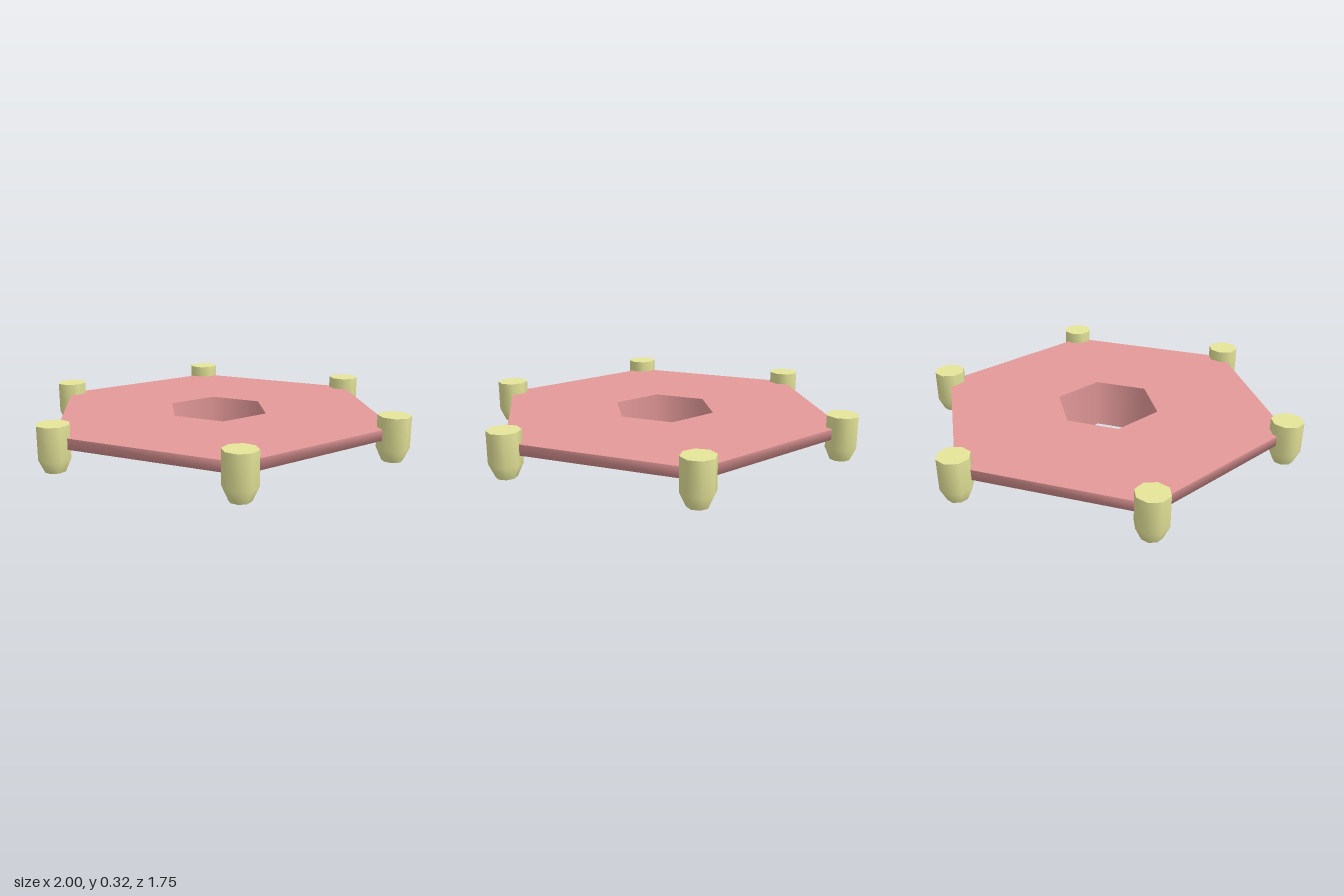
import * as THREE from 'three';

const PINK = new THREE.MeshStandardMaterial({ color: 0xe59a9a });
const YELLOW = new THREE.MeshStandardMaterial({ color: 0xe5e59a });

// Revolves a short profile of [radius, y] points into a faceted shell.
function shell(name, profile, sides, start, material) {
  const points = profile.map(([r, y]) => new THREE.Vector2(r, y));
  const mesh = new THREE.Mesh(new THREE.LatheGeometry(points, sides, start), material);
  mesh.name = name;
  return mesh;
}

// Hexagonal plate: tapered underside, thin rim and a hole through the middle.
function makePlate() {
  const outer = 0.92, hole = 0.27, rim = 0.21, top = 0.263;
  const plate = new THREE.Group();
  plate.name = 'plate';
  const add = (name, profile) => plate.add(shell(name, profile, 6, Math.PI / 6, PINK));
  add('undersideAndRim', [[hole, 0], [outer, rim], [outer, top]]);
  add('topFace', [[outer, top], [hole, top]]);
  add('holeWall', [[hole, top], [hole, 0]]);
  return plate;
}

// Octagonal post, narrowing towards its foot.
function makePost() {
  const radius = 0.08, foot = 0.05, low = 0.1, shoulder = 0.165, high = 0.323;
  const post = new THREE.Group();
  post.name = 'post';
  const add = (name, profile) => post.add(shell(name, profile, 8, 0, YELLOW));
  add('postSide', [[foot, low], [radius, shoulder], [radius, high]]);
  add('postTop', [[radius, high], [0, high]]);
  add('postBottom', [[0, low], [foot, low]]);
  return post;
}

export function createModel() {
  const model = new THREE.Group();
  model.name = 'hexagonalPlatform';
  model.add(makePlate());

  // One post on every corner
  for (let i = 0; i < 6; i++) {
    const angle = (i * Math.PI) / 3;
    const post = makePost();
    post.position.set(0.92 * Math.cos(angle), 0, 0.92 * Math.sin(angle));
    model.add(post);
  }
  return model;
}
